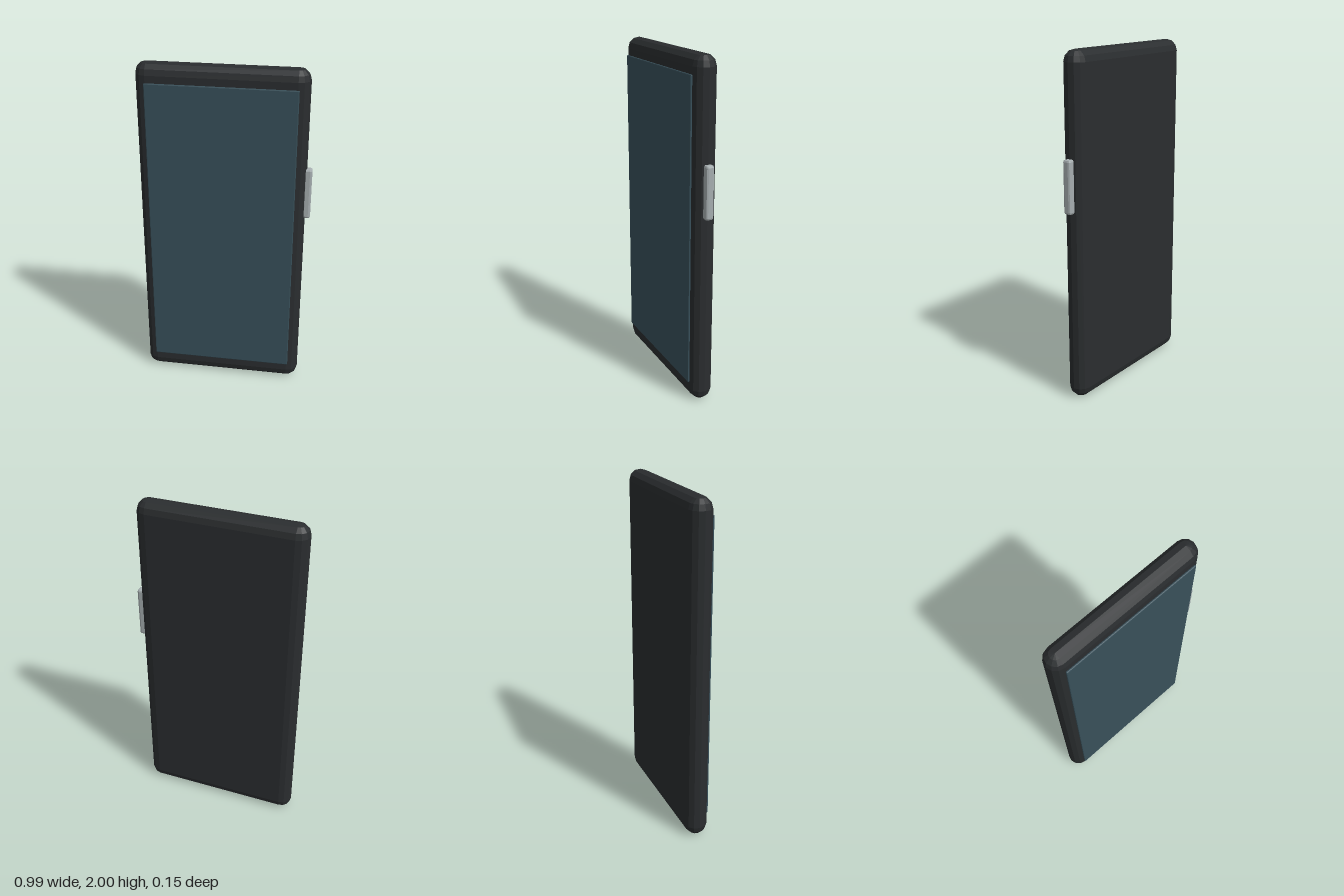
import * as THREE from 'three';
import { ConvexGeometry } from 'three/addons/geometries/ConvexGeometry.js';

// Box with edges rounded in a few flat facets, given by its min and max corners
function bevelledBox(name, min, max, radius, segments, color) {
  const half = max.map((v, i) => (v - min[i]) / 2);
  const points = [];
  for (const sx of [-1, 1]) for (const sy of [-1, 1]) for (const sz of [-1, 1]) {
    for (let i = 0; i <= segments; i++) {
      const a = (i / segments) * Math.PI / 2;
      const steps = i === segments ? 0 : segments;
      for (let j = 0; j <= steps; j++) {
        const b = (j / segments) * Math.PI / 2;
        points.push(new THREE.Vector3(
          sx * (half[0] - radius + radius * Math.cos(a) * Math.cos(b)),
          sy * (half[1] - radius + radius * Math.sin(a)),
          sz * (half[2] - radius + radius * Math.cos(a) * Math.sin(b))
        ));
      }
    }
  }
  const material = new THREE.MeshStandardMaterial({ color, flatShading: true });
  const mesh = new THREE.Mesh(new ConvexGeometry(points), material);
  mesh.name = name;
  mesh.position.set(...max.map((v, i) => (v + min[i]) / 2));
  return mesh;
}

export function createModel() {
  const group = new THREE.Group();
  group.name = 'phone';

  // Slab body with fully rounded sides
  group.add(bevelledBox('body', [-0.496, 0, -0.073], [0.466, 2, 0.059], 0.0655, 3, 0x2a2d2f));

  // Thin glass panel just proud of the front
  group.add(bevelledBox('screen', [-0.436, 0.115, 0.061], [0.409, 1.895, 0.073], 0.005, 2, 0x38505a));

  // Side key, partly sunk into the body
  group.add(bevelledBox('sideButton', [0.45, 1.125, -0.031], [0.496, 1.428, 0.017], 0.012, 2, 0xa6aeb0));

  return group;
}
